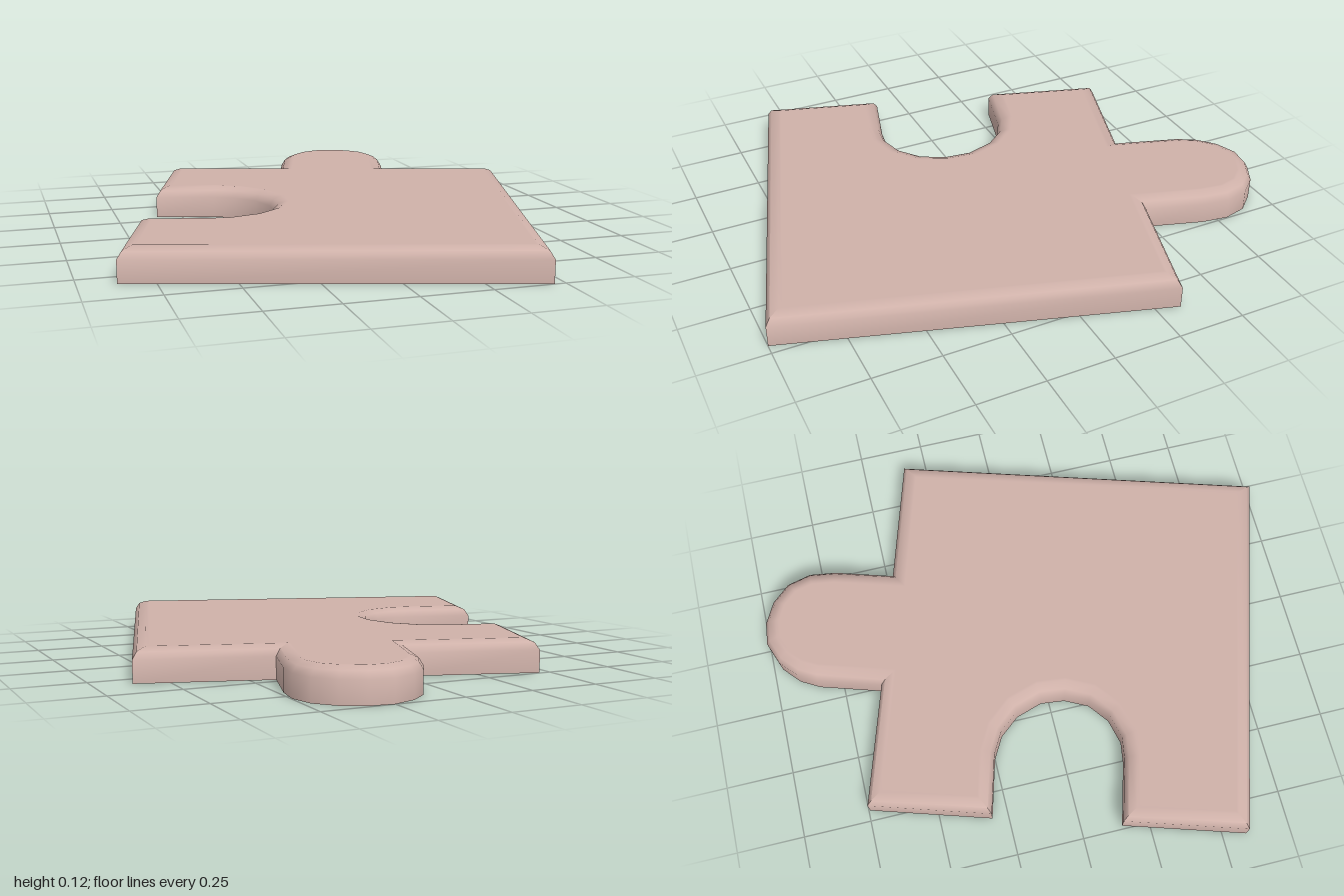
import * as THREE from 'three';
import { toCreasedNormals } from 'three/addons/utils/BufferGeometryUtils.js';

// Outline of the piece seen from above, as [x, z]
const outline = [
  [-0.46, -0.745], [-0.015, -0.605],
  // rounded tab
  [0.06, -0.84], [0.1, -0.91], [0.165, -0.968], [0.25, -1.0], [0.335, -0.99],
  [0.415, -0.948], [0.475, -0.88], [0.497, -0.79], [0.482, -0.69],
  // square corners
  [0.415, -0.475], [0.87, -0.337], [0.46, 1.0], [-0.873, 0.588], [-0.737, 0.15],
  // rounded socket
  [-0.51, 0.215], [-0.43, 0.227], [-0.335, 0.203], [-0.26, 0.145], [-0.217, 0.06],
  [-0.207, -0.03], [-0.238, -0.13], [-0.3, -0.205], [-0.38, -0.25], [-0.597, -0.31],
].map(([x, z]) => new THREE.Vector2(x, z));

// Rim profile as [inset, height]
const profile = [[0, 0], [0, 0.08], [0.015, 0.105], [0.045, 0.118], [0.055, 0.118]];

// Outline moved inwards by w, with mitred corners
function inset(w) {
  const n = outline.length;
  const normal = (a, b) => new THREE.Vector2(a.y - b.y, b.x - a.x).normalize();
  return outline.map((p, i) => {
    const n1 = normal(outline[(i + n - 1) % n], p);
    const n2 = normal(p, outline[(i + 1) % n]);
    const scale = w / (1 + n1.dot(n2));
    return n1.add(n2).multiplyScalar(scale).add(p);
  });
}

function geometryFrom(positions, index) {
  const geometry = new THREE.BufferGeometry();
  geometry.setAttribute('position', new THREE.Float32BufferAttribute(positions, 3));
  geometry.setIndex(index);
  geometry.computeVertexNormals();
  return geometry;
}

// Side wall and softened top edge
function rimGeometry() {
  const n = outline.length, positions = [], index = [];
  for (const [w, y] of profile) {
    for (const p of inset(w)) positions.push(p.x, y, p.y);
  }
  for (let r = 0; r < profile.length - 1; r++) {
    for (let i = 0; i < n; i++) {
      const a = r * n + i, b = r * n + (i + 1) % n;
      index.push(b, a, a + n, b, a + n, b + n);
    }
  }
  return toCreasedNormals(geometryFrom(positions, index), 0.75);
}

// Flat face filling the outline, facing up or down
function capGeometry(w, y, up) {
  const points = inset(w), index = [];
  for (const [a, b, c] of THREE.ShapeUtils.triangulateShape(points, [])) {
    const turn = points[b].clone().sub(points[a]).cross(points[c].clone().sub(points[a]));
    if ((turn < 0) === up) index.push(a, b, c);
    else index.push(a, c, b);
  }
  return geometryFrom(points.flatMap((p) => [p.x, y, p.y]), index);
}

export function createModel() {
  const pink = new THREE.MeshStandardMaterial({ color: 0xcfb1a9 });
  pink.name = 'dusty pink';
  const grey = new THREE.MeshStandardMaterial({ color: 0x7c7c7c });
  grey.name = 'grey';

  const group = new THREE.Group();
  group.name = 'puzzlePiece';
  const add = (name, geometry, material) => {
    const mesh = new THREE.Mesh(geometry, material);
    mesh.name = name;
    group.add(mesh);
  };
  const [topInset, topHeight] = profile[profile.length - 1];
  add('rim', rimGeometry(), pink);
  add('topFace', capGeometry(topInset, topHeight, true), pink);
  add('underside', capGeometry(0, 0, false), grey);
  return group;
}
